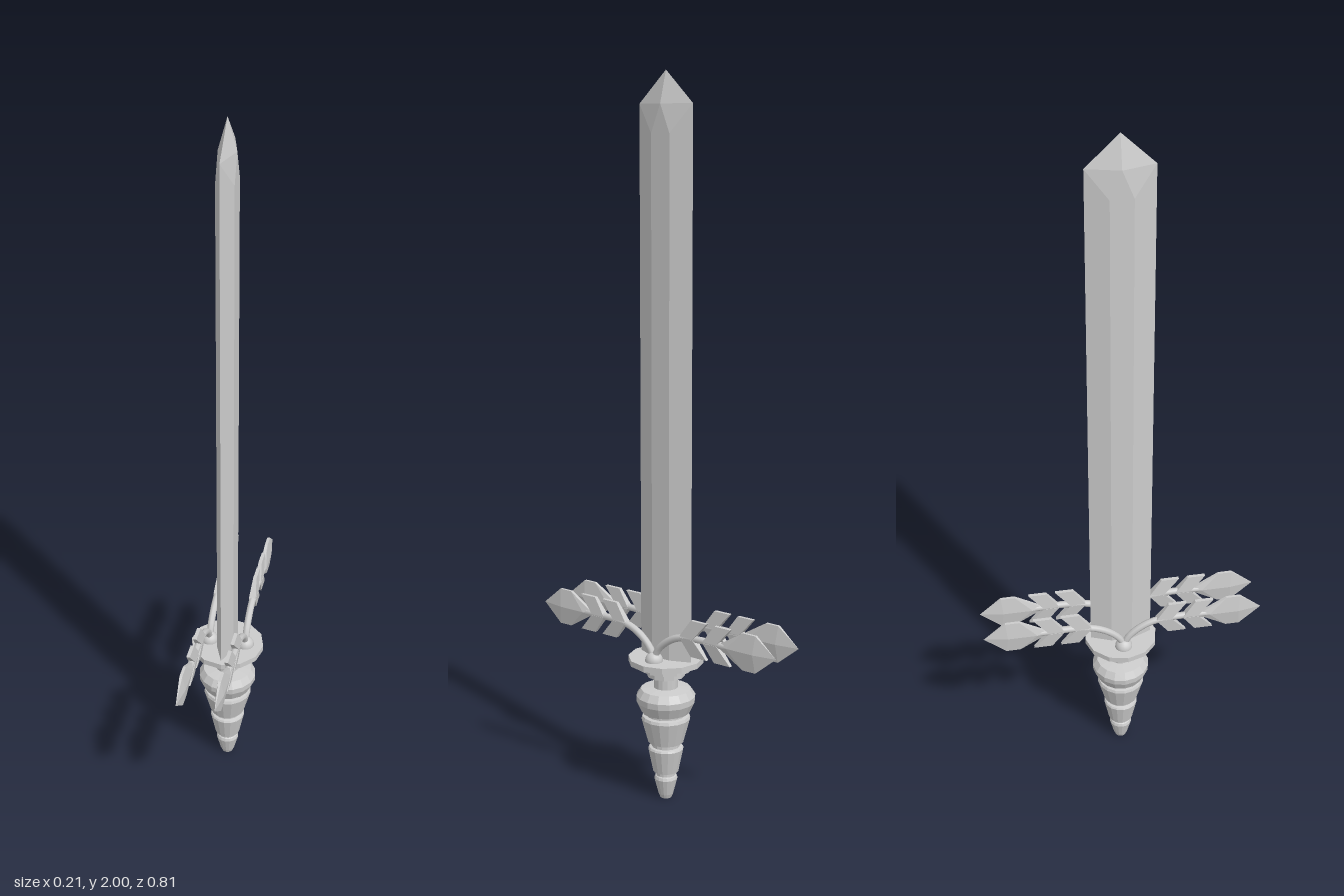
import * as THREE from 'three';
import { ConvexGeometry } from 'three/addons/geometries/ConvexGeometry.js';

const flat = new THREE.MeshStandardMaterial({ color: 0xcccccc, flatShading: true });
const smooth = new THREE.MeshStandardMaterial({ color: 0xcccccc });
const V = (x, y, z) => new THREE.Vector3(x, y, z);

function add(parent, name, geometry, material = flat) {
  const mesh = new THREE.Mesh(geometry, material);
  mesh.name = name;
  parent.add(mesh);
  return mesh;
}

// Faceted solid: [z, y, half thickness] points mirrored across the sprig plane
function plate(points, side, flip = 1, midY = 0.511) {
  const corners = [];
  for (const [z, y, t] of points) {
    const yy = midY + flip * (y - midY);
    corners.push(V(t, yy, z * side), V(-t, yy, z * side));
  }
  return new ConvexGeometry(corners);
}

function makeBlade() {
  const corners = [V(0, 2, 0)];
  for (const s of [-1, 1]) {
    corners.push(V(0, 0.41, s * 0.088), V(0, 1.915, s * 0.088), V(s * 0.024, 1.915, 0));
    for (const x of [-0.024, 0.024]) corners.push(V(x, 0.41, s * 0.03), V(x, 1.84, s * 0.03));
  }
  return new ConvexGeometry(corners);
}

// One leafy branch growing toward +z or -z
function makeSprig(side) {
  const sprig = new THREE.Group();
  sprig.name = 'sprig';
  const path = new THREE.CatmullRomCurve3(
    [[0, 0.425], [0.015, 0.455], [0.045, 0.483], [0.085, 0.503], [0.14, 0.511], [0.26, 0.511]]
      .map(([z, y]) => V(0, y, z * side)));
  add(sprig, 'stem', new THREE.TubeGeometry(path, 20, 0.01, 8), smooth);

  // Large end leaf with a raised central ridge
  add(sprig, 'endLeaf', plate([
    [0.403, 0.511, 0], [0.34, 0.562, 0.004], [0.30, 0.562, 0.004], [0.215, 0.511, 0.005],
    [0.30, 0.46, 0.004], [0.34, 0.46, 0.004], [0.335, 0.511, 0.011], [0.25, 0.511, 0.011],
  ], side));

  // Two pairs of slanted side leaflets
  for (const z of [0, 0.078]) for (const flip of [-1, 1]) {
    add(sprig, 'leaflet', plate([
      [z + 0.095, 0.513, 0.01], [z + 0.14, 0.513, 0.01],
      [z + 0.182, 0.562, 0.005], [z + 0.13, 0.562, 0.005],
    ], side, flip));
  }
  return sprig;
}

export function createModel() {
  const model = new THREE.Group();
  model.name = 'sword';

  add(model, 'blade', makeBlade());

  // Stepped guard discs: [radius, bottom, top]
  for (const [r, y0, y1] of [[0.105, 0.402, 0.418], [0.075, 0.384, 0.402], [0.053, 0.363, 0.384]]) {
    const disc = add(model, 'guardDisc', new THREE.CylinderGeometry(r, r, y1 - y0, 12));
    disc.position.y = (y0 + y1) / 2;
    disc.rotation.y = 0.04;
  }

  // Ringed, tapering grip
  const profile = [
    [0, 0], [0.016, 0], [0.021, 0.012], [0.033, 0.058], [0.03, 0.066], [0.027, 0.068],
    [0.027, 0.08], [0.036, 0.08], [0.05, 0.148], [0.047, 0.153], [0.04, 0.155],
    [0.04, 0.168], [0.05, 0.168], [0.069, 0.238], [0.066, 0.246], [0.056, 0.248],
    [0.056, 0.258], [0.068, 0.258], [0.082, 0.288], [0.083, 0.305], [0.07, 0.325],
    [0.034, 0.329], [0.034, 0.37],
  ].map(([r, y]) => new THREE.Vector2(r, y));
  add(model, 'grip', new THREE.LatheGeometry(profile, 16));

  // Paired sprigs on both sides of the blade, joined by a bead
  for (const x of [-0.053, 0.053]) {
    const branch = new THREE.Group();
    branch.name = 'branch';
    branch.position.x = x;
    add(branch, 'bead', new THREE.SphereGeometry(0.025, 16, 10), smooth).position.y = 0.42;
    branch.add(makeSprig(1), makeSprig(-1));
    model.add(branch);
  }
  return model;
}
